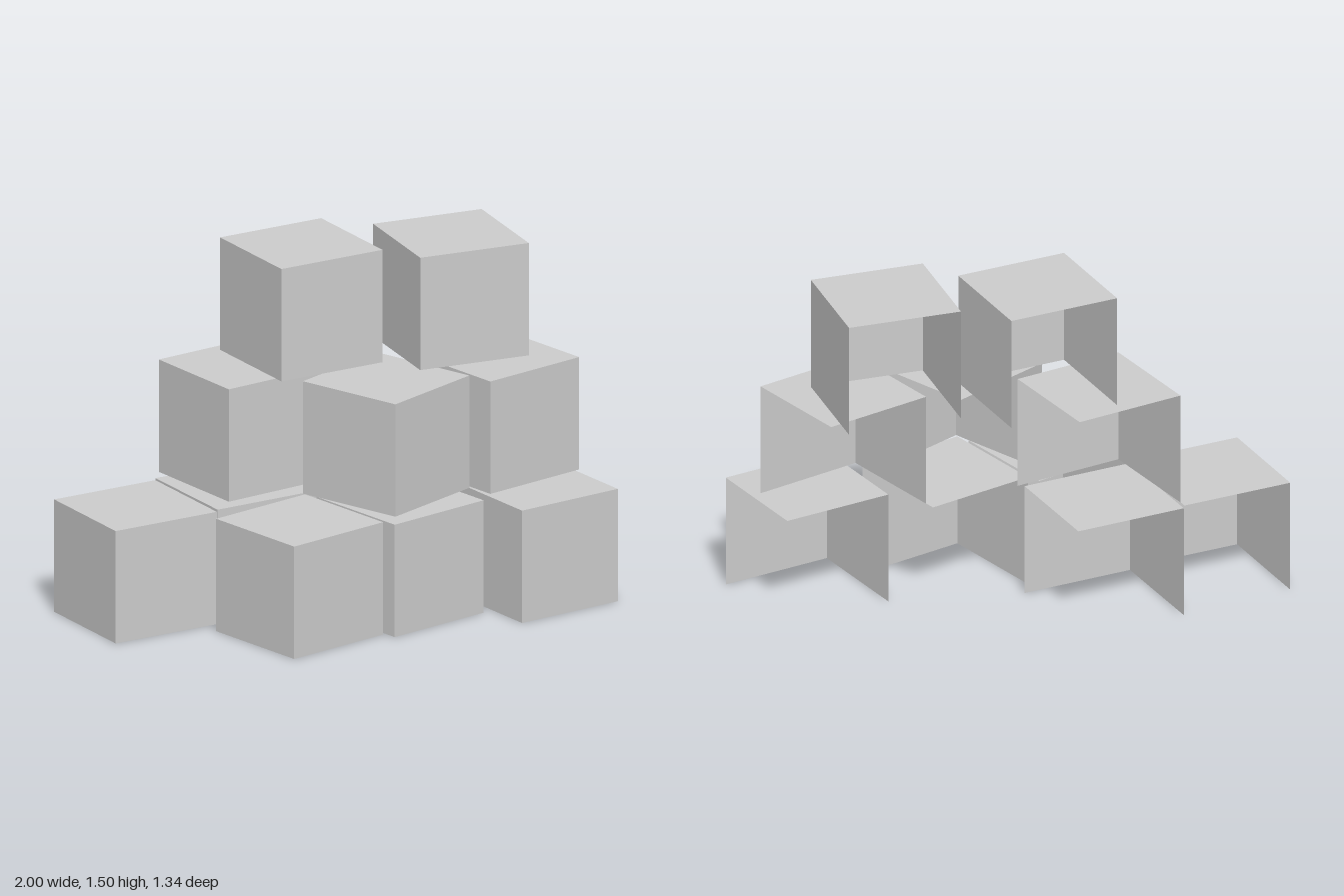
import * as THREE from 'three';

const SIZE = 0.49;
const HALF = SIZE / 2;

// Open crates: x, z, base height, turn in degrees, whether the right wall exists
const CRATES = [
  // bottom layer
  [-0.725, -0.398, 0, -7, false],
  [-0.22, -0.36, 0, -6.6, false],
  [-0.313, 0.177, 0, 3, false],
  [0.193, 0.208, 0, 3, false],
  [0.745, 0.411, 0, -2.3, false],
  // middle layer
  [-0.187, -0.371, 0.517, -2, false],
  [0.169, 0.145, 0.513, 13, false],
  [0.713, 0.188, 0.513, 3, false],
  // top layer
  [0.063, -0.288, 1.01, -7, true],
  [0.633, -0.01, 1.01, -14.8, true],
];

export function createModel() {
  const model = new THREE.Group();
  model.name = 'crateStack';
  const grey = new THREE.MeshStandardMaterial({ color: 0xcccccc, side: THREE.DoubleSide });
  grey.name = 'plain grey';
  const panel = new THREE.PlaneGeometry(SIZE, SIZE);

  // One square panel, facing outwards
  function addPanel(parent, name, position, rotX, rotY) {
    const mesh = new THREE.Mesh(panel, grey);
    mesh.name = name;
    mesh.position.set(...position);
    mesh.rotation.set(rotX, rotY, 0);
    parent.add(mesh);
  }

  CRATES.forEach(([x, z, base, turn, hasRight], i) => {
    const crate = new THREE.Group();
    crate.name = `crate${i + 1}`;
    crate.position.set(x, base + HALF, z);
    crate.rotation.y = THREE.MathUtils.degToRad(turn);
    // Back and underside stay open
    addPanel(crate, 'topPanel', [0, HALF, 0], -Math.PI / 2, 0);
    addPanel(crate, 'frontPanel', [0, 0, HALF], 0, 0);
    addPanel(crate, 'sidePanel', [-HALF, 0, 0], 0, -Math.PI / 2);
    if (hasRight) addPanel(crate, 'oppositeSidePanel', [HALF, 0, 0], 0, Math.PI / 2);
    model.add(crate);
  });
  return model;
}
